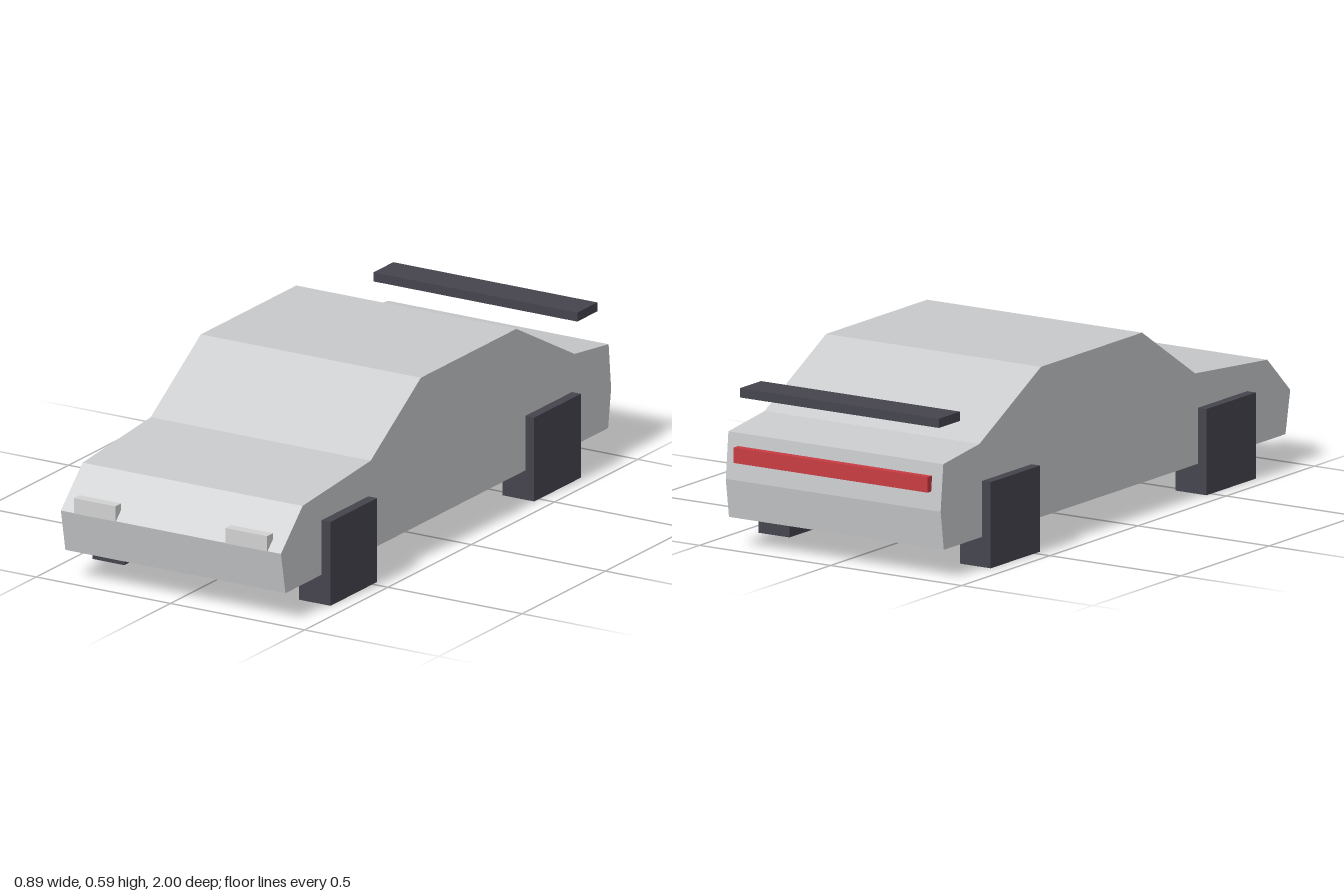
import * as THREE from 'three';

const paint = (name, color) => {
  const m = new THREE.MeshStandardMaterial({ color });
  m.name = name;
  return m;
};

export function createModel() {
  const car = new THREE.Group();
  car.name = 'car';
  const silver = paint('silver', 0xc8c9cb);
  const charcoal = paint('charcoal', 0x45444e);
  const red = paint('red', 0xc83c42);
  const lamp = paint('lampGrey', 0xd0d1d0);

  // Box given by its [min, max] range on each axis
  const box = (name, material, [x0, x1], [y0, y1], [z0, z1]) => {
    const mesh = new THREE.Mesh(new THREE.BoxGeometry(x1 - x0, y1 - y0, z1 - z0), material);
    mesh.position.set((x0 + x1) / 2, (y0 + y1) / 2, (z0 + z1) / 2);
    mesh.name = name;
    car.add(mesh);
  };

  // Body: side profile as (z, y), extruded across the width
  const profile = [
    [-0.967, 0.098], [0.97, 0.098], [0.997, 0.237], [0.867, 0.36], [0.458, 0.395],
    [0.157, 0.586], [-0.416, 0.586], [-0.765, 0.403], [-0.97, 0.377], [-0.985, 0.225],
  ];
  const shape = new THREE.Shape(profile.map(([z, y]) => new THREE.Vector2(z, y)));
  const bodyGeometry = new THREE.ExtrudeGeometry(shape, { depth: 0.82, bevelEnabled: false });
  bodyGeometry.translate(0, 0, -0.41).rotateY(-Math.PI / 2);
  const body = new THREE.Mesh(bodyGeometry, silver);
  body.name = 'body';
  car.add(body);

  // Block wheels and headlights, mirrored left and right
  for (const [side, s] of [['left', 1], ['right', -1]]) {
    const span = (a, b) => (s > 0 ? [a, b] : [-b, -a]);
    box(side + 'FrontWheel', charcoal, span(0.325, 0.443), [0, 0.28], [0.473, 0.753]);
    box(side + 'RearWheel', charcoal, span(0.325, 0.443), [0, 0.28], [-0.75, -0.47]);
    box(side + 'Headlight', lamp, span(0.205, 0.36), [0.237, 0.288], [0.965, 1]);
  }

  // Rear light bar and floating spoiler
  box('tailLight', red, [-0.37, 0.37], [0.285, 0.335], [-1, -0.965]);
  box('spoiler', charcoal, [-0.38, 0.38], [0.487, 0.517], [-0.95, -0.83]);

  return car;
}
